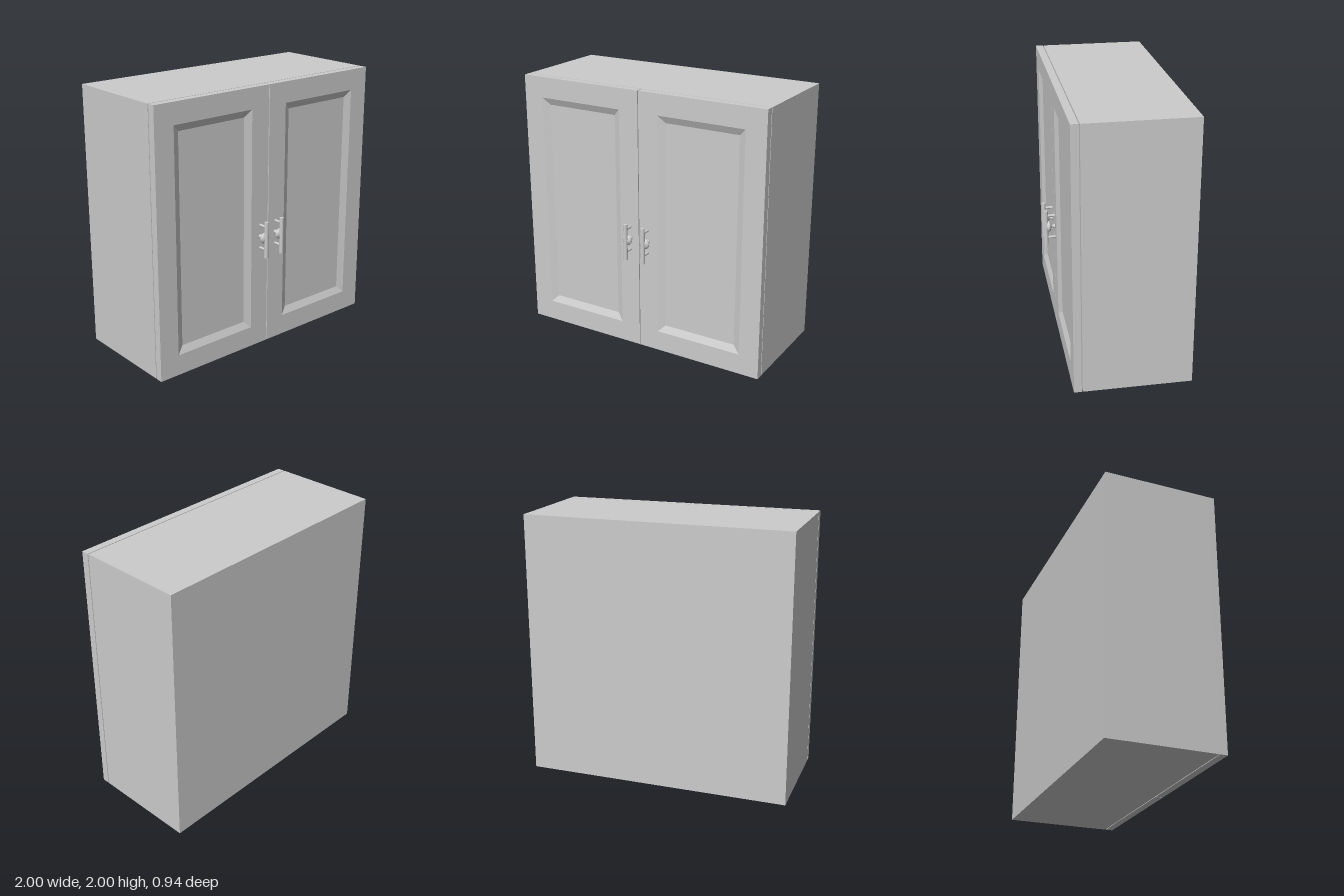
import * as THREE from 'three';

const grey = new THREE.MeshStandardMaterial({ color: 0xcccccc });

function add(parent, name, geometry, x = 0, y = 0, z = 0) {
  const mesh = new THREE.Mesh(geometry, grey);
  mesh.name = name;
  mesh.position.set(x, y, z);
  parent.add(mesh);
  return mesh;
}

// Slab lofted through rectangles: back edge, front edge, frame edge, recessed panel.
function doorGeometry(x0, x1, y0, y1, back, front) {
  const rings = [[0, back], [0, front], [0.157, front], [0.21, front - 0.025]];
  const positions = [];
  const index = [];
  for (const [inset, z] of rings) {
    const l = x0 + inset, r = x1 - inset, b = y0 + inset, t = y1 - inset;
    positions.push(l, b, z, r, b, z, r, t, z, l, t, z);
  }
  const quad = (a, b, c, d) => index.push(a, b, c, a, c, d);
  for (let ring = 0; ring < rings.length - 1; ring++) {
    for (let i = 0; i < 4; i++) {
      const a = ring * 4 + i, b = ring * 4 + (i + 1) % 4;
      quad(a, b, b + 4, a + 4);
    }
  }
  quad(3, 2, 1, 0);
  const last = (rings.length - 1) * 4;
  quad(last, last + 1, last + 2, last + 3);
  const indexed = new THREE.BufferGeometry();
  indexed.setAttribute('position', new THREE.Float32BufferAttribute(positions, 3));
  indexed.setIndex(index);
  const geometry = indexed.toNonIndexed();
  geometry.computeVertexNormals();
  return geometry;
}

// Round knob with a waisted stem, turned to point along +z.
function knobGeometry() {
  const profile = [
    [0, 0], [0.018, 0], [0.017, 0.004], [0.011, 0.012], [0.01, 0.022], [0.016, 0.03],
    [0.032, 0.036], [0.04, 0.044], [0.041, 0.05], [0.037, 0.058], [0.027, 0.066],
    [0.014, 0.071], [0, 0.073],
  ].map(([r, h]) => new THREE.Vector2(r, h));
  return new THREE.LatheGeometry(profile, 32).rotateX(Math.PI / 2);
}

export function createModel() {
  const model = new THREE.Group();
  model.name = 'wallCabinet';
  const doorFront = 0.388;

  // Carcass
  add(model, 'carcass', new THREE.BoxGeometry(2, 2, 0.797), 0, 1, -0.0735);

  for (const side of [-1, 1]) {
    const label = side > 0 ? 'left' : 'right';
    const door = new THREE.Group();
    door.name = `${label}Door`;
    model.add(door);

    // Door with a bevelled recessed panel
    const [x0, x1] = side > 0 ? [0.003, 1] : [-1, -0.003];
    add(door, 'doorPanel', doorGeometry(x0, x1, 0, 2, 0.332, doorFront));

    // Bar pull on two posts, with a knob behind it
    const handle = new THREE.Group();
    handle.name = `${label}Handle`;
    handle.position.set(side * 0.075, 0.876, doorFront);
    door.add(handle);
    add(handle, 'bar', new THREE.CylinderGeometry(0.0155, 0.0155, 0.28, 24), 0, -0.012, 0.069);
    for (const y of [-0.09, 0.088]) {
      const post = new THREE.CylinderGeometry(0.01, 0.01, 0.068, 16).rotateX(Math.PI / 2);
      add(handle, 'post', post, 0, y, 0.034);
    }
    add(handle, 'knob', knobGeometry());
  }
  return model;
}
